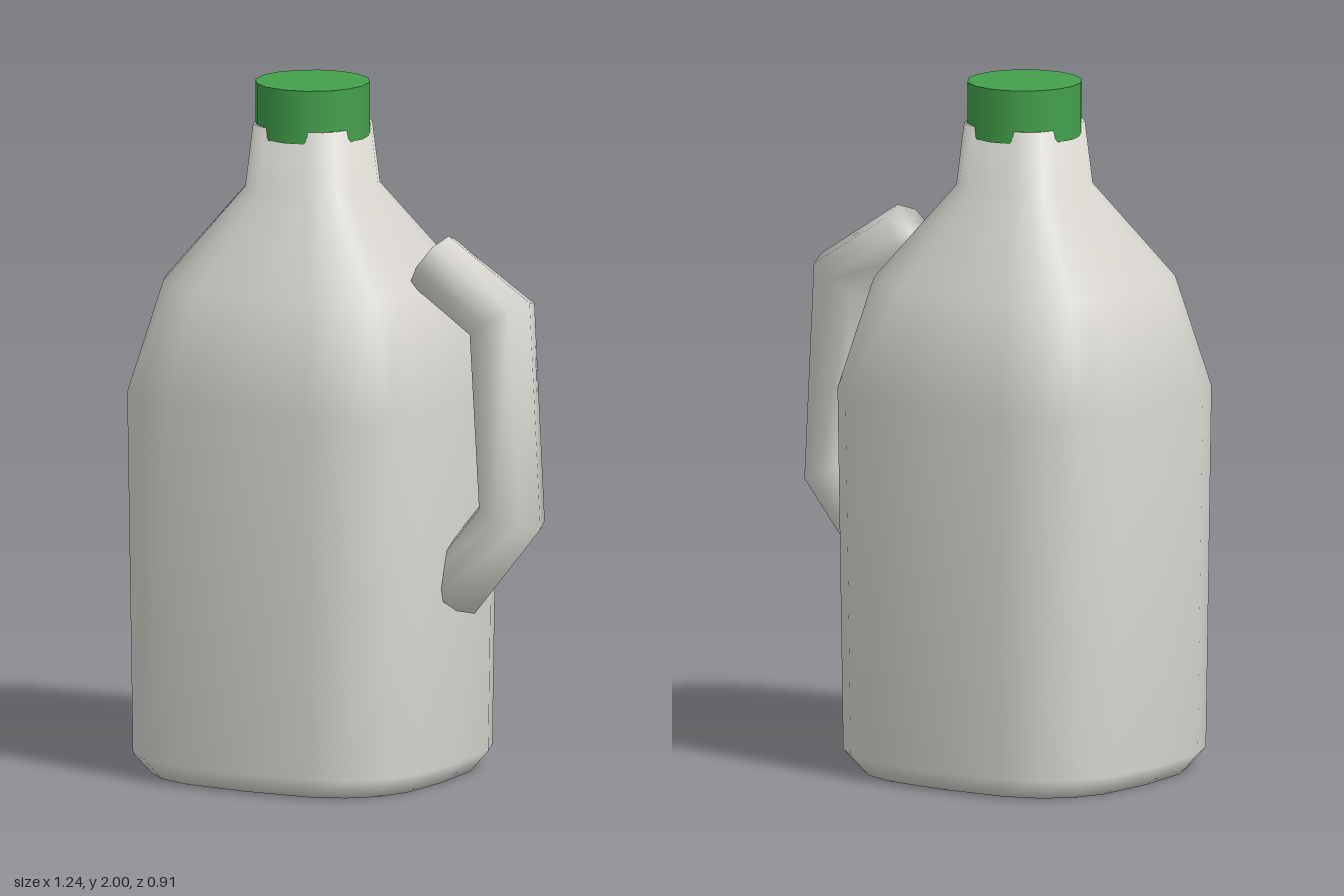
import * as THREE from 'three';

// Smooth skin over a stack of closed rings, with a centre-fan cap at each end
function loft(rings) {
  const n = rings[0].length, pos = [], idx = [];
  for (const ring of rings) for (const p of ring) pos.push(p.x, p.y, p.z);
  for (let r = 0; r < rings.length - 1; r++) {
    for (let i = 0; i < n; i++) {
      const a = r * n + i, b = r * n + (i + 1) % n;
      idx.push(a, a + n, b, b, a + n, b + n);
    }
  }
  const cap = (r, last) => {
    const c = new THREE.Vector3();
    rings[r].forEach(p => c.addScaledVector(p, 1 / n));
    const k = pos.length / 3;
    pos.push(c.x, c.y, c.z);
    for (let i = 0; i < n; i++) {
      const a = r * n + i, b = r * n + (i + 1) % n;
      if (last) idx.push(k, b, a); else idx.push(k, a, b);
    }
  };
  cap(0, false);
  cap(rings.length - 1, true);
  const g = new THREE.BufferGeometry();
  g.setAttribute('position', new THREE.Float32BufferAttribute(pos, 3));
  g.setIndex(idx);
  g.computeVertexNormals();
  return g;
}

const AXIS_X = -0.13; // bottle axis

// Rounded-square cross-section
function bodyRing([y, hx, hz]) {
  const soft = v => Math.sign(v) * Math.pow(Math.abs(v), 0.65);
  return Array.from({ length: 20 }, (_, i) => {
    const a = i * Math.PI / 10;
    const c = i % 10 === 5 ? 0 : Math.cos(a), s = i % 10 === 0 ? 0 : Math.sin(a);
    return new THREE.Vector3(AXIS_X + hx * soft(c), y, hz * soft(s));
  });
}

// Handle cross-section: centre, offset to the outer edge, half-width in z
function handleRing([cx, cy, ox, oy, rz]) {
  return Array.from({ length: 8 }, (_, i) => {
    const a = i * Math.PI / 4;
    return new THREE.Vector3(cx + ox * Math.cos(a), cy + oy * Math.cos(a), rz * Math.sin(a));
  });
}

export function createModel() {
  const group = new THREE.Group();
  const plastic = new THREE.MeshStandardMaterial({ color: 0xd8d6cf });
  plastic.name = 'off-white plastic';
  const green = new THREE.MeshStandardMaterial({ color: 0x43a04b });
  green.name = 'cap green';

  const add = (name, geometry, material) => {
    const mesh = new THREE.Mesh(geometry, material);
    mesh.name = name;
    group.add(mesh);
    return mesh;
  };

  // Jug body with chamfered foot, sloped shoulders and neck: y, half x, half z
  add('body', loft([
    [0, 0.425, 0.395],
    [0.06, 0.475, 0.44],
    [1.11, 0.49, 0.453],
    [1.43, 0.395, 0.365],
    [1.70, 0.175, 0.172],
    [1.88, 0.154, 0.154],
  ].map(bodyRing)), plastic);

  // Side handle with mitred bends, listed from bottom to top
  add('handle', loft([
    [0.327, 0.56, 0.073, -0.06, 0.097],
    [0.522, 0.798, 0.093, -0.033, 0.105],
    [0.49, 1.365, 0.09, 0.055, 0.107],
    [0.263, 1.511, 0.052, 0.079, 0.097],
  ].map(handleRing)), plastic);

  // Screw cap
  add('cap', new THREE.CylinderGeometry(0.165, 0.165, 0.155, 16), green)
    .position.set(AXIS_X, 1.9225, 0);

  return group;
}
